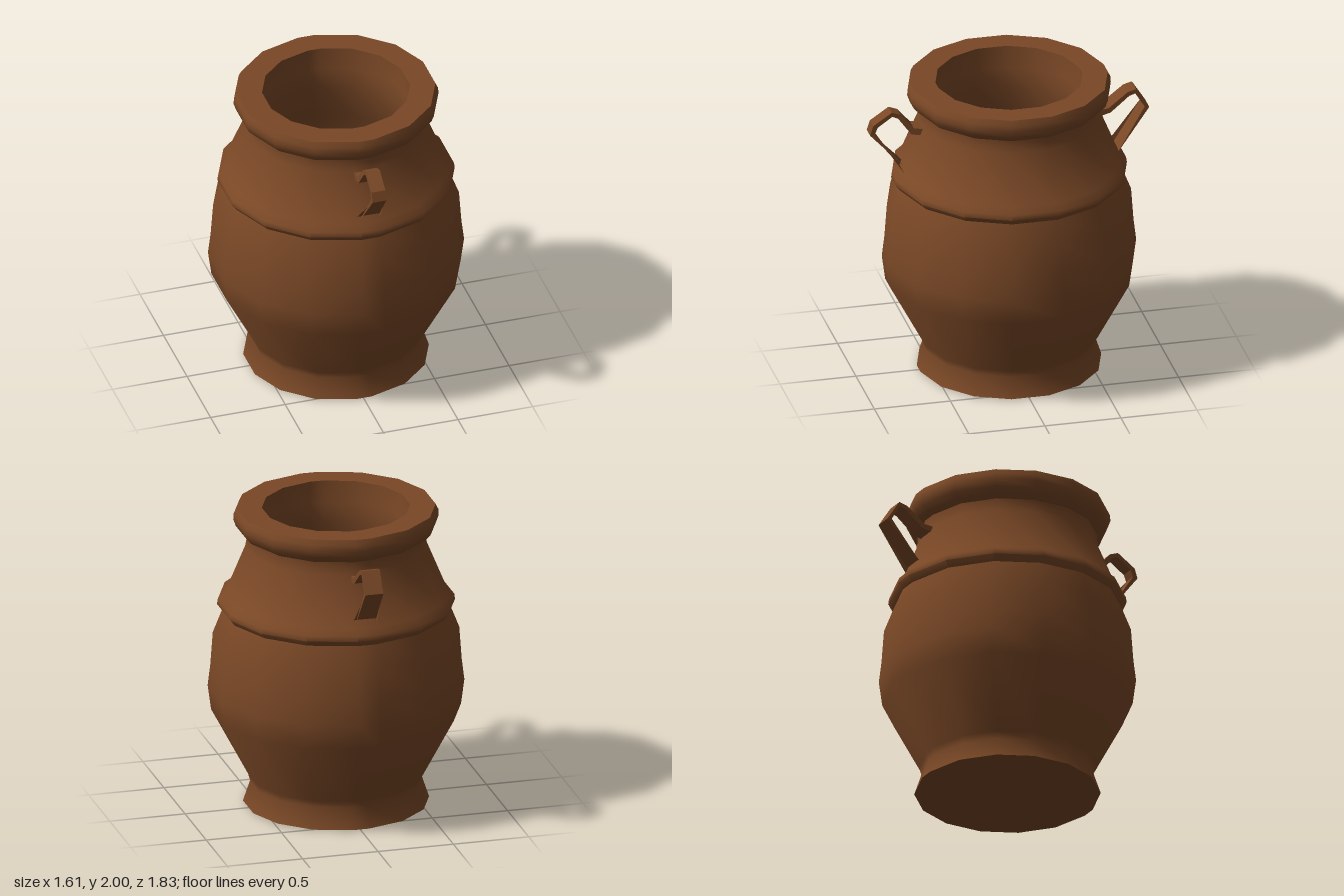
import * as THREE from 'three';
import { toCreasedNormals } from 'three/addons/utils/BufferGeometryUtils.js';

const clay = new THREE.MeshStandardMaterial({ color: 0x7a4826 });
clay.name = 'brown clay';

// Facet angles in degrees: the front and back facets are narrow
const half = [5, 30, 54.3, 78, 102, 125.7, 150, 175];
const angles = [...half, ...half.map((a) => a + 180), 365].map(THREE.MathUtils.degToRad);

// Surface of revolution with uneven facets
function turned(name, profile) {
  const points = profile.map(([r, y]) => new THREE.Vector2(r, y));
  const geo = new THREE.LatheGeometry(points, angles.length - 1);
  const pos = geo.attributes.position;
  for (let i = 0; i < pos.count; i++) {
    const [r, y] = profile[i % profile.length];
    const a = angles[Math.floor(i / profile.length) % (angles.length - 1)];
    pos.setXYZ(i, r * Math.sin(a), y, r * Math.cos(a));
  }
  const mesh = new THREE.Mesh(toCreasedNormals(geo, 0.85), clay);
  mesh.name = name;
  mesh.position.z = -0.006;
  return mesh;
}

// Strap handle; each station is [half width, outer z, outer y, inner z, inner y]
function strap(name, stations) {
  const verts = [];
  const index = [];
  stations.forEach(([w, oz, oy, iz, iy], s) => {
    verts.push(-w, oy, oz, w, oy, oz, w, iy, iz, -w, iy, iz);
    if (s === stations.length - 1) return;
    for (let k = 0; k < 4; k++) {
      const a = s * 4 + k, b = s * 4 + ((k + 1) % 4);
      index.push(a, b, b + 4, a, b + 4, a + 4);
    }
  });
  const geo = new THREE.BufferGeometry();
  geo.setAttribute('position', new THREE.Float32BufferAttribute(verts, 3));
  geo.setIndex(index);
  const flat = geo.toNonIndexed();
  flat.computeVertexNormals();
  const mesh = new THREE.Mesh(flat, clay);
  mesh.name = name;
  return mesh;
}

export function createModel() {
  const group = new THREE.Group();
  group.name = 'jar';

  // Foot, belly, shoulder ridge, neck and lip, then the hollow inside
  group.add(turned('jarBody', [
    [0, 0], [0.596, 0.008], [0.55, 0.145], [0.563, 0.19],
    [0.8, 0.635], [0.822, 0.8], [0.805, 0.94], [0.789, 1.16],
    [0.73, 1.31], [0.762, 1.35], [0.757, 1.385], [0.714, 1.42],
    [0.582, 1.74], [0.573, 1.79], [0.574, 1.825],
    [0.61, 1.845], [0.642, 1.88], [0.658, 1.925], [0.655, 1.965], [0.638, 2],
    [0.475, 2], [0.472, 1.85], [0.45, 1.72], [0.6, 1.4],
    [0.7, 0.8], [0.68, 0.62], [0.46, 0.16], [0, 0.16],
  ]));

  // Front handle
  group.add(strap('frontHandle', [
    [0.076, 0.67, 1.45, 0.665, 1.40],
    [0.073, 0.705, 1.49, 0.69, 1.42],
    [0.046, 0.918, 1.715, 0.886, 1.72],
    [0.046, 0.897, 1.78, 0.868, 1.765],
    [0.046, 0.775, 1.862, 0.772, 1.832],
    [0.046, 0.718, 1.84, 0.734, 1.815],
    [0.056, 0.632, 1.738, 0.65, 1.70],
    [0.064, 0.55, 1.73, 0.55, 1.68],
  ]));

  // Back handle
  const back = strap('backHandle', [
    [0.076, 0.67, 1.45, 0.665, 1.40],
    [0.073, 0.71, 1.49, 0.70, 1.42],
    [0.06, 0.914, 1.72, 0.884, 1.725],
    [0.06, 0.828, 1.855, 0.822, 1.825],
    [0.06, 0.772, 1.84, 0.782, 1.812],
    [0.062, 0.645, 1.74, 0.66, 1.71],
    [0.064, 0.55, 1.73, 0.55, 1.68],
  ]);
  back.rotation.y = Math.PI;
  group.add(back);

  return group;
}
